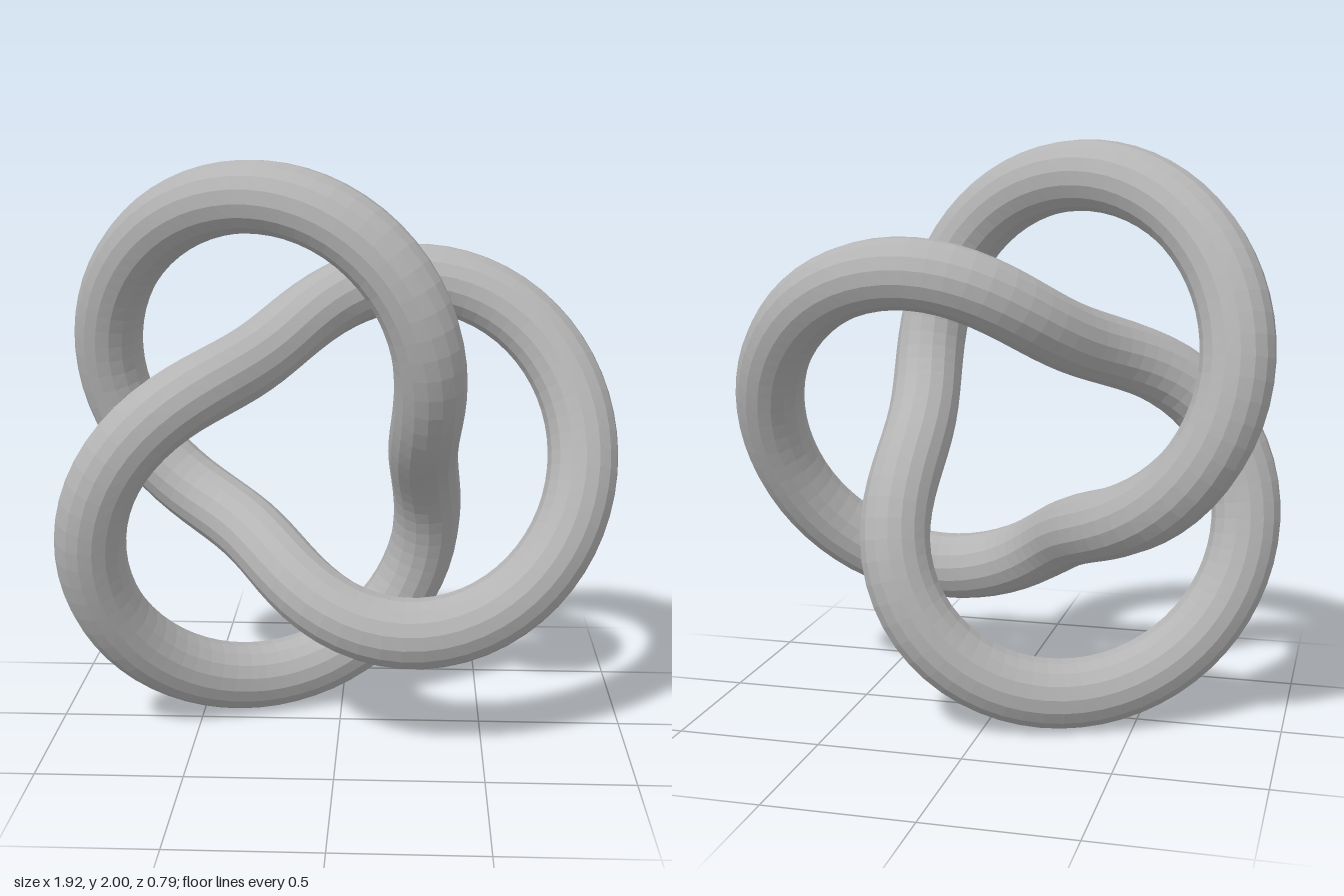
import * as THREE from 'three';

// Closed trefoil path winding twice round a ring while circling its section three times
class TrefoilCurve extends THREE.Curve {
  constructor(ringRadius, windRadius) {
    super();
    this.ringRadius = ringRadius;
    this.windRadius = windRadius;
    this.arcLengthDivisions = 600;
  }

  getPoint(t, target = new THREE.Vector3()) {
    const u = t * Math.PI * 4;
    const r = this.ringRadius + this.windRadius * Math.cos(1.5 * u);
    return target.set(
      r * Math.cos(u),
      r * Math.sin(u),
      -this.windRadius * Math.sin(1.5 * u)
    );
  }
}

export function createModel() {
  const group = new THREE.Group();
  group.name = 'trefoilKnot';

  const grey = new THREE.MeshStandardMaterial({ color: 0xb4b4b4, flatShading: true });
  grey.name = 'plain grey';

  // One round tube swept along the knot
  const path = new TrefoilCurve(0.655, 0.275);
  const knot = new THREE.Mesh(new THREE.TubeGeometry(path, 160, 0.121, 16, true), grey);
  knot.name = 'knotTube';
  knot.position.set(-0.092, 1, 0);
  group.add(knot);

  return group;
}
